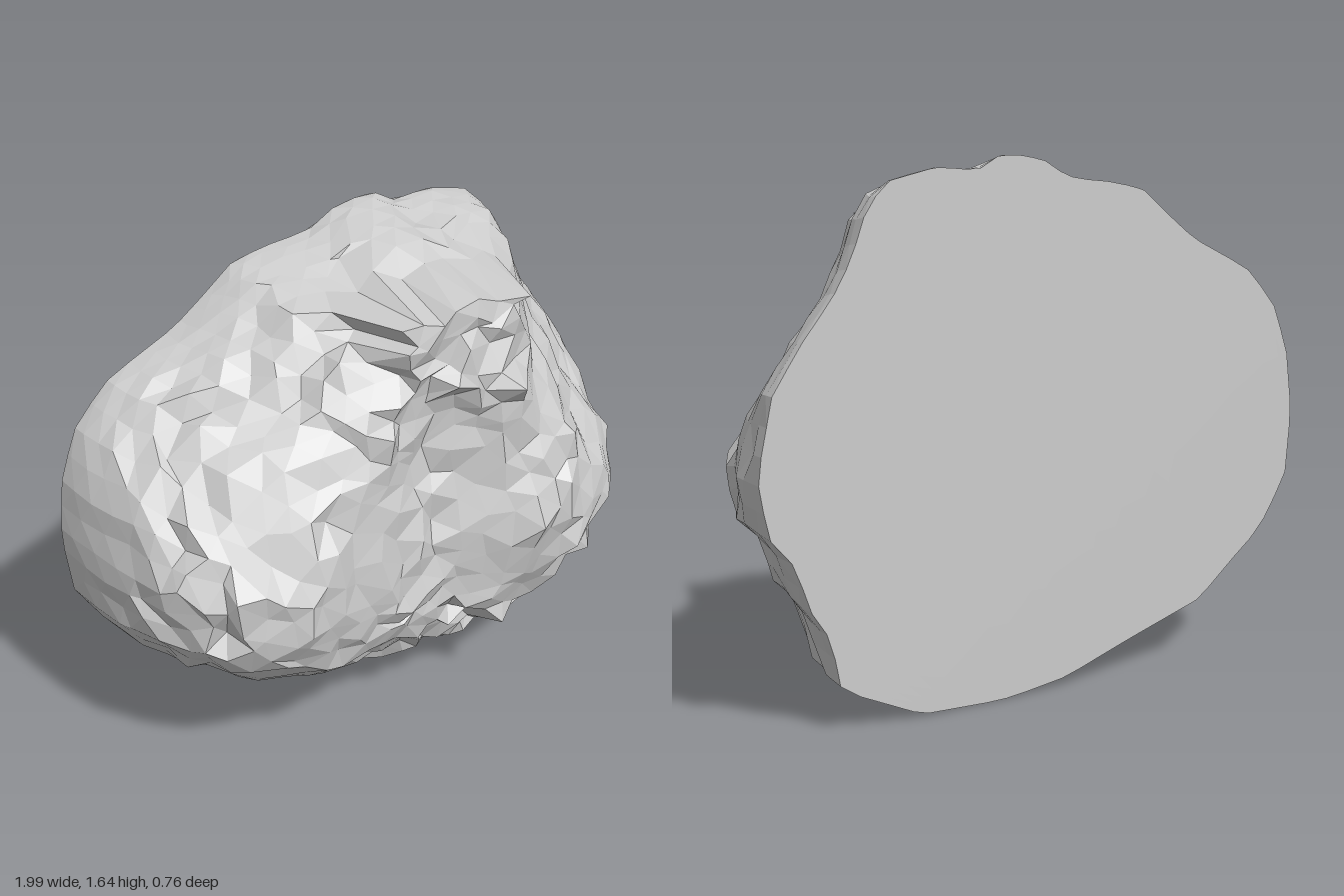
import * as THREE from 'three';

const BACK = -0.365, CY = 0.75;

// Rim of the flat back, anticlockwise (x, y), sorted by angle about the centre
const RIM = [
  [0.1, 0.01], [0.2, 0], [0.48, 0.01], [0.75, 0.13], [0.78, 0.28], [0.86, 0.4], [0.88, 0.5], [0.97, 0.6], [1, 0.77],
  [0.95, 1], [0.86, 1.13], [0.75, 1.27], [0.7, 1.36], [0.65, 1.5], [0.58, 1.57], [0.42, 1.61], [0.27, 1.6], [0.2, 1.65],
  [0.06, 1.64], [-0.05, 1.58], [-0.2, 1.57], [-0.33, 1.55], [-0.45, 1.46], [-0.55, 1.39], [-0.78, 1.29], [-0.9, 1.18],
  [-0.97, 1.02], [-1, 0.8], [-0.98, 0.58], [-0.87, 0.41], [-0.7, 0.28], [-0.6, 0.2], [-0.3, 0.11], [-0.05, 0.03],
].map(([x, y]) => ({ x, y: y - CY, a: Math.atan2(y - CY, x) })).sort((p, q) => p.a - q.a);

// Depth of the front face: rows y = 0..1.6 step 0.2, columns x = -1..1 step 0.25
const DEPTH = [
  [0.10, 0.10, 0.05, -0.02, -0.05, -0.05, -0.03, 0.05, 0.10],
  [0.15, 0.15, 0.17, 0.18, 0.18, 0.20, 0.21, 0.20, 0.18],
  [0.30, 0.30, 0.31, 0.27, 0.26, 0.30, 0.32, 0.30, 0.25],
  [0.42, 0.40, 0.36, 0.30, 0.26, 0.35, 0.38, 0.40, 0.32],
  [0.42, 0.38, 0.35, 0.28, 0.23, 0.34, 0.38, 0.28, 0.22],
  [0.30, 0.24, 0.28, 0.27, 0.19, 0.29, 0.33, 0.04, 0.02],
  [0.00, 0.00, 0.13, 0.24, 0.22, 0.34, 0.17, -0.02, -0.05],
  [0.00, 0.00, 0.05, 0.13, 0.32, 0.34, 0.10, 0.00, 0.00],
  [0.00, 0.00, 0.03, 0.08, 0.10, 0.10, 0.05, 0.00, 0.00],
];

// Repeatable noise in -1..1 that depends only on position
function hash(p, seed) {
  const q = (n) => Math.round(n * 1000);
  const s = Math.sin(q(p.x) * 0.1271 + q(p.y) * 0.3117 + q(p.z) * 0.0747 + seed * 17.3) * 43758.5453;
  return 2 * (s - Math.floor(s)) - 1;
}

// Distance from the centre to the rim along angle a
function rimRadius(a) {
  const i = Math.max(0, RIM.findIndex((p) => p.a > a));
  const p = RIM[(i + RIM.length - 1) % RIM.length], q = RIM[i];
  return (p.x * q.y - p.y * q.x) / (Math.cos(a) * (q.y - p.y) - Math.sin(a) * (q.x - p.x));
}

function depthAt(x, y) {
  const u = THREE.MathUtils.clamp((x + 1) * 4, 0, 7.999);
  const v = THREE.MathUtils.clamp(y * 5, 0, 7.999);
  const i = Math.floor(u), j = Math.floor(v);
  const row = (k) => THREE.MathUtils.lerp(DEPTH[k][i], DEPTH[k][i + 1], u - i);
  return THREE.MathUtils.lerp(row(j), row(j + 1), v - j);
}

// Moves a point of the unit sphere onto the rock
function shape(p) {
  const onRim = Math.abs(p.z) < 0.05;
  const r = onRim ? 1 : Math.hypot(p.x, p.y);
  const a = Math.atan2(p.y, p.x);
  const R = rimRadius(a) * r;
  let x = Math.cos(a) * R, y = CY + Math.sin(a) * R;
  if (onRim || p.z < 0) return new THREE.Vector3(x, y, BACK);

  let z = BACK + (depthAt(x, y) - BACK) * Math.pow(1 - Math.pow(r, 5), 0.6);
  // Overhanging brow with a level top
  if (x > -0.13 && x < 0.36 && y > 1.33 && y < 1.5) z = Math.max(z, 0.23);

  // Smooth on the upper flanks, rough on the middle and lower front
  const smooth = y > 0.95 && (x > 0.45 || x < -0.25);
  const rough = smooth ? 0.3 : 1;
  const edge = Math.min(1, (1 - r) * 8);
  z += hash(p, 1) * 0.016 * rough;
  if (hash(p, 2) > 0.8) z += hash(p, 3) * 0.06 * rough;
  x += hash(p, 4) * 0.025 * edge;
  y += hash(p, 5) * 0.025 * edge;
  return new THREE.Vector3(x, y, Math.max(z, BACK));
}

export function createModel() {
  const group = new THREE.Group();
  const geometry = new THREE.IcosahedronGeometry(1, 12);
  const pos = geometry.attributes.position;
  const p = new THREE.Vector3();
  for (let i = 0; i < pos.count; i++) {
    p.fromBufferAttribute(pos, i);
    const q = shape(p);
    pos.setXYZ(i, q.x, q.y, q.z);
  }
  geometry.deleteAttribute('uv');
  geometry.computeVertexNormals();

  const rock = new THREE.Mesh(geometry, new THREE.MeshStandardMaterial({ color: 0xcccccc, flatShading: true }));
  rock.name = 'rock';
  group.add(rock);
  return group;
}
